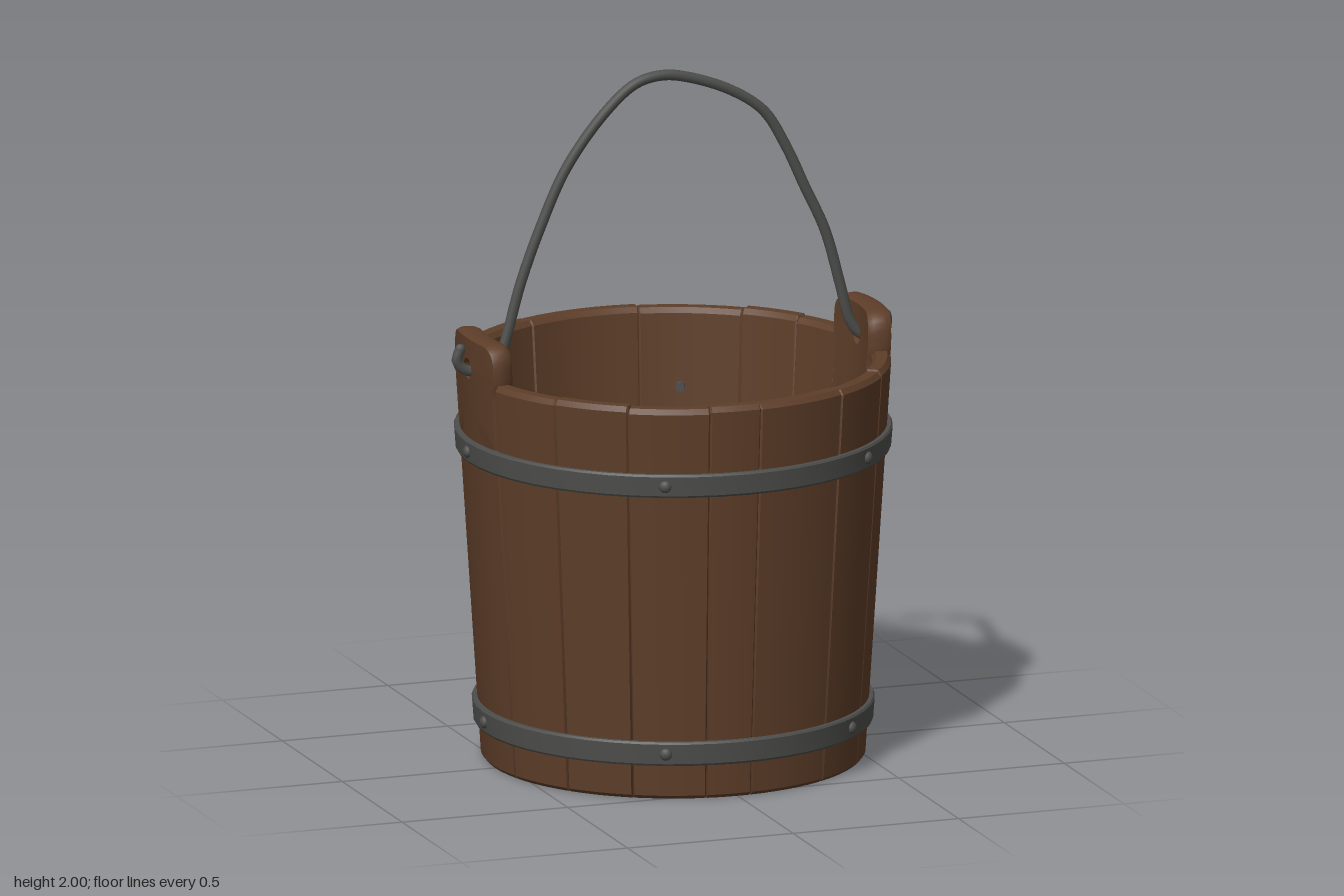
import * as THREE from 'three';
import { toCreasedNormals } from 'three/addons/utils/BufferGeometryUtils.js';

const RAD = Math.PI / 180;
const outerR = (y) => 0.546 + 0.064 * y; // tapered outside of the bucket wall
const polar = (a, r, y) => [r * Math.sin(a), y, r * Math.cos(a)];

// Skin a grid of points; every row is a closed loop
function skin(rows, closedRows, crease = 0.5) {
  const n = rows[0].length, index = [];
  const count = closedRows ? rows.length : rows.length - 1;
  for (let i = 0; i < count; i++) {
    const i2 = (i + 1) % rows.length;
    for (let j = 0; j < n; j++) {
      const j2 = (j + 1) % n;
      const a = i * n + j, b = i2 * n + j, c = i2 * n + j2, d = i * n + j2;
      if (closedRows || i > 0) index.push(a, b, d);
      if (closedRows || i < count - 1) index.push(b, c, d);
      if (!closedRows && i === 0) index.push(b, c, a);
    }
  }
  const g = new THREE.BufferGeometry();
  g.setAttribute('position', new THREE.Float32BufferAttribute(rows.flat(2), 3));
  g.setIndex(index);
  return toCreasedNormals(g, crease);
}

// One curved stave with chamfered rim and slightly chamfered long edges
function staveGeometry(a0, a1, top) {
  const wall = 0.056;
  const profile = (inset) => [
    [outerR(0) - wall + 0.008, 0], [outerR(0) - 0.008 - inset, 0],
    [outerR(0.01) - inset, 0.01], [outerR(top - 0.015) - inset, top - 0.015],
    [outerR(top) - 0.012 - inset, top - inset], [outerR(top) - wall + 0.012, top - inset],
    [outerR(top) - wall + inset, top - 0.015], [outerR(0.01) - wall + inset, 0.01],
  ];
  const row = (a, inset) => profile(inset).map(([r, y]) => polar(a, r, y));
  const centre = (a) => profile(0).map(() => polar(a, outerR(top / 2) - wall / 2, top / 2));
  const bevel = 0.008, rows = [centre(a0), row(a0, 0.005)], steps = 6;
  for (let k = 0; k <= steps; k++) {
    rows.push(row(THREE.MathUtils.lerp(a0 + bevel, a1 - bevel, k / steps), 0));
  }
  rows.push(row(a1, 0.005), centre(a1));
  return skin(rows, false);
}

// Raised ear with a round hole, bent to the curve of the wall
function earGeometry(angle) {
  const s = new THREE.Shape();
  s.moveTo(-0.157, 0.93);
  s.lineTo(0.157, 0.93);
  s.lineTo(0.158, 1.13);
  s.lineTo(0.168, 1.16);
  s.lineTo(0.168, 1.21);
  s.quadraticCurveTo(0.166, 1.27, 0.105, 1.272);
  s.lineTo(-0.105, 1.272);
  s.quadraticCurveTo(-0.166, 1.27, -0.168, 1.21);
  s.lineTo(-0.168, 1.16);
  s.lineTo(-0.158, 1.13);
  s.closePath();
  const centre = new THREE.Vector2(0, 1.178);
  const section = [[0, 0.016], [0.08, 0], [0.5, 0], [1, 0],
    [1, 0.066], [0.5, 0.066], [0.08, 0.066], [0, 0.05]];
  const outline = s.getSpacedPoints(72).slice(0, -1);
  const rows = outline.map((p) => {
    const hole = p.clone().sub(centre).setLength(0.03).add(centre);
    return section.map(([k, depth]) => {
      const q = p.clone().lerp(hole, k);
      return polar(angle + q.x / 0.61, Math.min(outerR(q.y), 0.622) - depth, q.y);
    });
  });
  return skin(rows, true, 0.7);
}

// Flat iron hoop following the taper
function hoopGeometry(y0, y1) {
  const loop = [[outerR(y0) - 0.004, y0], [outerR(y0) + 0.012, y0], [outerR(y0) + 0.016, y0 + 0.006],
    [outerR(y1) + 0.016, y1 - 0.006], [outerR(y1) + 0.012, y1], [outerR(y1) - 0.004, y1]];
  const rows = [];
  for (let i = 0; i < 48; i++) {
    rows.push(loop.map(([r, y]) => polar((i / 48) * Math.PI * 2, r, y)));
  }
  return skin(rows, true);
}

// Floor plank: a slice of a disc
function plankGeometry(x0, x1) {
  const R = 0.509, pts = [];
  for (let k = 0; k <= 8; k++) {
    const x = THREE.MathUtils.lerp(x0 + 0.003, x1 - 0.003, k / 8);
    pts.push(new THREE.Vector2(x, Math.sqrt(R * R - x * x)));
  }
  const lower = pts.map((p) => new THREE.Vector2(p.x, -p.y)).reverse();
  const g = new THREE.ExtrudeGeometry(new THREE.Shape([...pts, ...lower]),
    { depth: 0.042, bevelEnabled: true, bevelSize: 0.003, bevelThickness: 0.004, bevelSegments: 1 });
  return g.rotateX(-Math.PI / 2).translate(0, 0.049, 0);
}

export function createModel() {
  const wood = new THREE.MeshStandardMaterial({ color: 0x5e3e29 });
  wood.name = 'brown wood';
  const iron = new THREE.MeshStandardMaterial({ color: 0x4e4e4c });
  iron.name = 'dark iron';

  const model = new THREE.Group();
  model.name = 'bucket';
  const add = (name, geometry, material, parent = model) => {
    const mesh = new THREE.Mesh(geometry, material);
    mesh.name = name;
    parent.add(mesh);
    return mesh;
  };
  const group = (name) => {
    const g = new THREE.Group();
    g.name = name;
    model.add(g);
    return g;
  };

  // Staves of uneven width; the two side ones carry the ears
  const staves = group('staves');
  const seams = [-75, -53, -32, -10, 4, 31, 53, 75, 105, 122, 140, 170, 205, 233, 255, 285];
  for (let i = 0; i < seams.length - 1; i++) {
    const isEar = seams[i] === 75 || seams[i] === 255;
    const top = isEar ? 0.95 : 1.161 + 0.003 * Math.sin(i * 2.3);
    add(isEar ? 'earStave' : 'stave', staveGeometry(seams[i] * RAD, seams[i + 1] * RAD, top), wood, staves);
  }
  for (const side of [1, -1]) {
    add(side > 0 ? 'leftEar' : 'rightEar', earGeometry((side * Math.PI) / 2), wood);
  }

  // Floor planks
  const floor = group('floor');
  const cuts = [-0.505, -0.31, -0.1, 0.1, 0.31, 0.505];
  for (let i = 0; i < 5; i++) add('floorPlank', plankGeometry(cuts[i], cuts[i + 1]), wood, floor);

  // Hoops with rivets driven through the wall
  for (const [name, y0, y1] of [['upperHoop', 0.9, 0.968], ['lowerHoop', 0.102, 0.172]]) {
    add(name, hoopGeometry(y0, y1), iron);
    const rivets = group(name + 'Rivets');
    const y = (y0 + y1) / 2;
    for (const deg of [-22, 43, 90, 158, 223, 270]) {
      const rivet = new THREE.Group();
      rivet.name = 'rivet';
      rivet.rotation.y = deg * RAD;
      rivets.add(rivet);
      const head = add('rivetHead', new THREE.SphereGeometry(0.018, 12, 8), iron, rivet);
      head.position.set(0, y, outerR(y) + 0.016);
      head.scale.z = 0.7;
      const pin = add('rivetPin', new THREE.CylinderGeometry(0.014, 0.014, 0.085, 10), iron, rivet);
      pin.rotation.x = Math.PI / 2;
      pin.position.set(0, y, outerR(y) - 0.03);
    }
  }

  // Bent wire handle hooked through both ears
  const path = [
    [-0.642, 1.235], [-0.652, 1.2], [-0.625, 1.172], [-0.57, 1.168], [-0.53, 1.185], [-0.505, 1.25],
    [-0.46, 1.41], [-0.4, 1.57], [-0.32, 1.74], [-0.2, 1.895], [-0.11, 1.968], [-0.03, 1.985],
    [0.05, 1.972], [0.18, 1.922], [0.275, 1.855], [0.34, 1.75], [0.4, 1.62], [0.46, 1.49],
    [0.505, 1.33], [0.535, 1.22], [0.565, 1.178], [0.615, 1.168], [0.645, 1.19], [0.645, 1.225],
  ].map(([x, y]) => new THREE.Vector3(x, y, 0));
  const handle = group('handle');
  handle.position.z = -0.004;
  handle.scale.z = 0.8;
  add('handleWire', new THREE.TubeGeometry(new THREE.CatmullRomCurve3(path), 140, 0.0155, 10), iron, handle);
  for (const end of [path[0], path[path.length - 1]]) {
    add('handleTip', new THREE.SphereGeometry(0.0155, 10, 8), iron, handle).position.copy(end);
  }
  return model;
}
